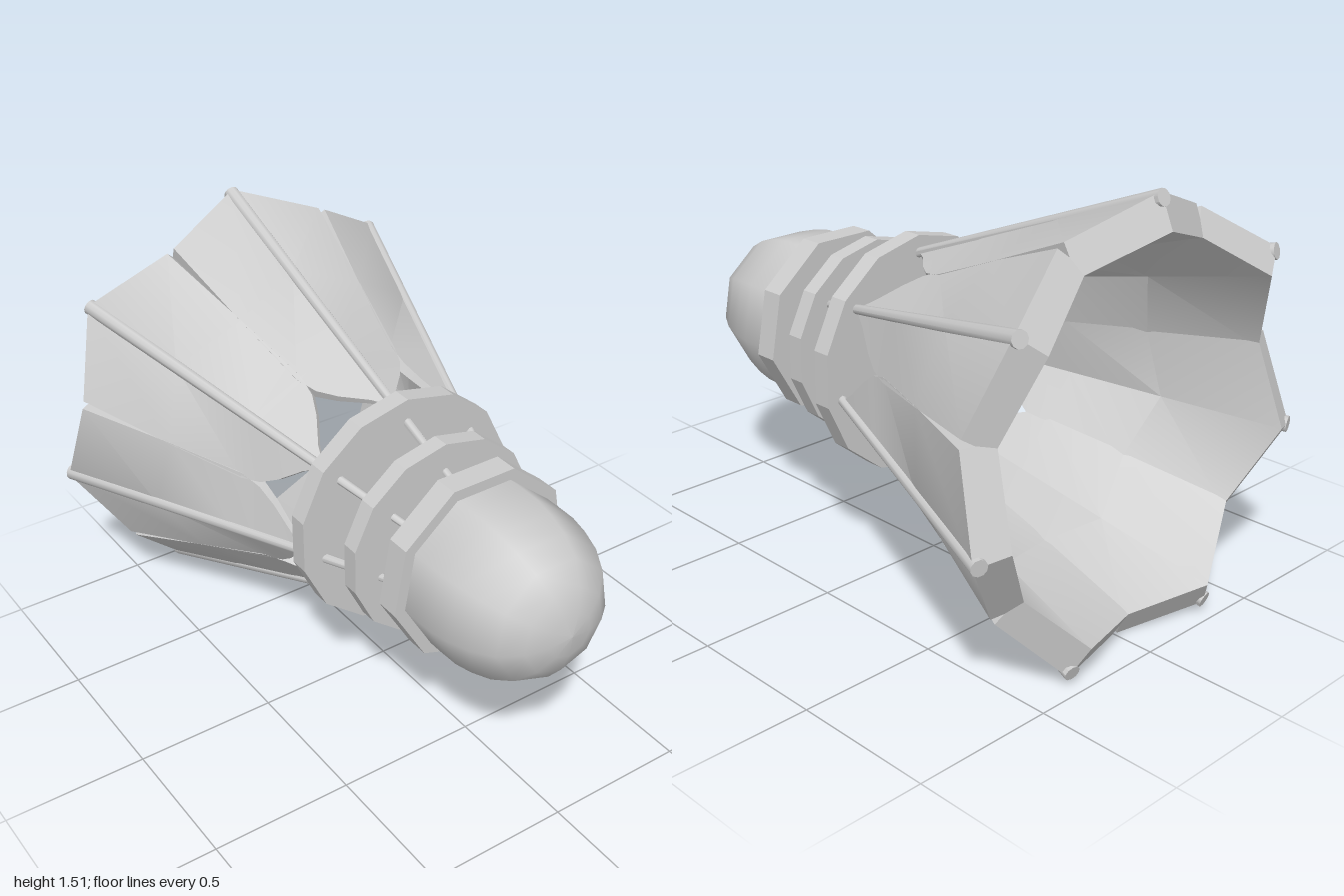
import * as THREE from 'three';
import { toCreasedNormals } from 'three/addons/utils/BufferGeometryUtils.js';

const AXIS_Y = 0.735;
const FEATHERS = 7;
const smooth = new THREE.MeshStandardMaterial({ color: 0xcccccc });
const flat = new THREE.MeshStandardMaterial({ color: 0xcccccc, flatShading: true });

function part(name, geometry, material = smooth) {
  const mesh = new THREE.Mesh(geometry, material);
  mesh.name = name;
  return mesh;
}

// Faceted disc lying across the z axis
function disc(name, radius, zFront, zBack, sides, y = 0) {
  const g = new THREE.CylinderGeometry(radius, radius, zFront - zBack, sides);
  g.rotateX(Math.PI / 2).translate(0, y, (zFront + zBack) / 2);
  return part(name, g, flat);
}

// Tapered rod in the plane x = 0, from [y, z] to [y, z]
function rod(name, from, to, r0, r1) {
  const a = new THREE.Vector3(0, ...from), b = new THREE.Vector3(0, ...to);
  const dir = b.clone().sub(a);
  const g = new THREE.CylinderGeometry(r1, r0, dir.length(), 10);
  const mesh = part(name, toCreasedNormals(g, 0.9));
  mesh.quaternion.setFromUnitVectors(new THREE.Vector3(0, 1, 0), dir.normalize());
  mesh.position.copy(a).add(b).multiplyScalar(0.5);
  return mesh;
}

// Folded blade: a thickening V section swept backwards along the ridge
function bladeGeometry() {
  // ridge z, half width, drop of the edges, edge z offset, thickness
  const stations = [
    [0.06, 0.008, 0.003, 0, 0.015],
    [0.0, 0.05, 0.02, 0, 0.022],
    [-0.08, 0.125, 0.052, 0, 0.03],
    [-0.15, 0.172, 0.075, 0.005, 0.037],
    [-0.23, 0.2, 0.09, 0.01, 0.045],
    [-0.55, 0.248, 0.102, 0.05, 0.08],
    [-0.95, 0.302, 0.112, 0.1, 0.12],
  ];
  const pos = [], index = [];
  for (const [z, w, drop, skew, t] of stations) {
    const r = 0.205 + 0.4 * (0.47 - z);
    const iy = -0.925 * t, iz = -0.4 * t; // inward offset, square to the blade
    pos.push(
      -w, r - drop, z + skew, 0, r, z, w, r - drop, z + skew,
      w * 0.97, r - drop + iy * 0.9, z + skew + iz, 0, r + iy, z + iz,
      -w * 0.97, r - drop + iy * 0.9, z + skew + iz);
  }
  const quad = (a, b, c, d) => index.push(a, b, c, a, c, d);
  const n = stations.length;
  for (let s = 0; s < n - 1; s++) {
    for (let i = 0; i < 6; i++) {
      const j = (i + 1) % 6, o = s * 6;
      quad(o + i, o + j, o + 6 + j, o + 6 + i);
    }
  }
  const e = (n - 1) * 6;
  quad(e, e + 1, e + 4, e + 5);
  quad(e + 1, e + 2, e + 3, e + 4);
  quad(5, 4, 1, 0);
  quad(4, 3, 2, 1);
  const g = new THREE.BufferGeometry();
  g.setAttribute('position', new THREE.Float32BufferAttribute(pos, 3));
  g.setIndex(index);
  return toCreasedNormals(g, 0.6);
}

export function createModel() {
  const model = new THREE.Group();
  model.name = 'shuttlecock';
  const body = new THREE.Group();
  body.name = 'body';
  body.position.y = AXIS_Y;
  model.add(body);

  // Rounded cork nose
  const profile = [[0.305, 0.5], [0.305, 0.6], [0.303, 0.68], [0.29, 0.75], [0.265, 0.83],
    [0.222, 0.905], [0.155, 0.96], [0.08, 0.99], [0, 1]].map(p => new THREE.Vector2(...p));
  const cork = new THREE.LatheGeometry(profile, 9);
  cork.rotateX(Math.PI / 2).translate(0, 0.01, 0);
  body.add(part('cork', cork));

  // Collar and the two binding rings
  body.add(disc('collar', 0.345, 0.55, 0.465, 9, 0.01));
  body.add(disc('frontRing', 0.362, 0.35, 0.288, 14));
  body.add(disc('backRing', 0.425, 0.14, 0.072, 14));

  // Feathers around the axis
  const blade = bladeGeometry();
  for (let k = 0; k < FEATHERS; k++) {
    const feather = new THREE.Group();
    feather.name = 'feather' + (k + 1);
    feather.add(part('blade', blade));
    feather.add(rod('quill', [0.2, 0.5], [0.757, -0.96], 0.012, 0.028));
    feather.rotation.z = (k * Math.PI * 2) / FEATHERS;
    body.add(feather);
  }
  return model;
}
